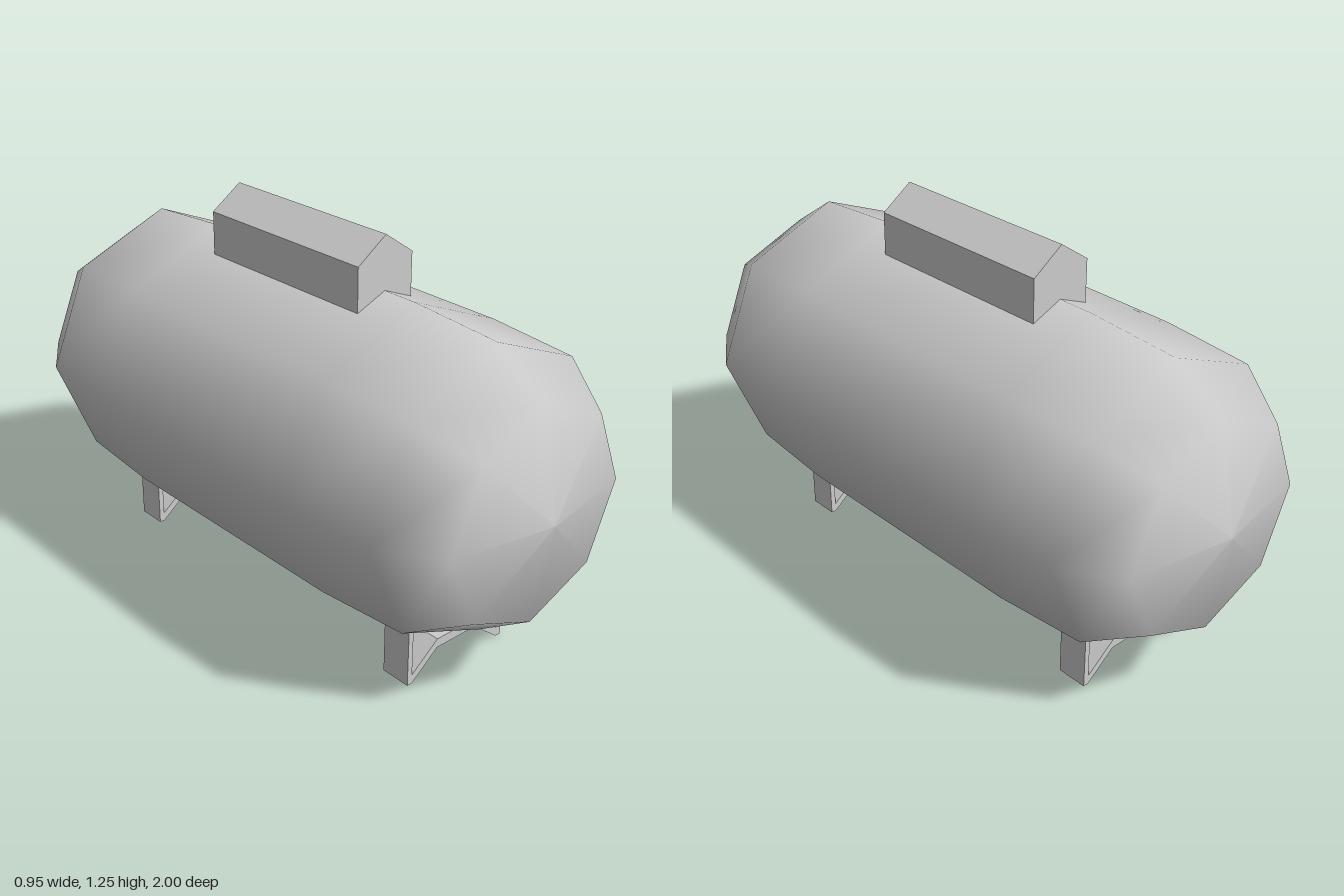
import * as THREE from 'three';

const grey = new THREE.MeshStandardMaterial({ color: 0xcccccc });
grey.name = 'grey paint';

// Prism along z, centred on z, from an outline in x and y
function prism(name, outline, depth, z) {
  const shape = new THREE.Shape(outline.map(([x, y]) => new THREE.Vector2(x, y)));
  const geometry = new THREE.ExtrudeGeometry(shape, { depth, bevelEnabled: false });
  geometry.translate(0, 0, z - depth / 2);
  const mesh = new THREE.Mesh(geometry, grey);
  mesh.name = name;
  return mesh;
}

export function createModel() {
  const group = new THREE.Group();
  group.name = 'gasTank';

  // Eight-sided tank with rounded ends, lying along z
  const half = [[0, 1], [0.335, 0.94], [0.455, 0.76], [0.475, 0.45]];
  const profile = [
    ...half.map(([r, z]) => new THREE.Vector2(r, -z)),
    ...half.slice().reverse().map(([r, z]) => new THREE.Vector2(r, z)),
  ];
  const tank = new THREE.Mesh(new THREE.LatheGeometry(profile, 8).rotateX(Math.PI / 2), grey);
  tank.name = 'tank';
  tank.position.y = 0.61;
  group.add(tank);

  // Gabled valve cover on top
  group.add(prism('valveCover', [
    [-0.105, 1.04], [0.105, 1.04], [0.105, 1.18], [0, 1.253], [-0.105, 1.18],
  ], 0.66, 0));

  // Two stands: thin uprights joined by a bent brace
  const side = [
    [0.08, 0.08], [0.182, 0], [0.2, 0], [0.2, 0.25], [0.182, 0.25], [0.182, 0.03], [0.08, 0.11],
  ];
  const stand = [...side, ...side.slice().reverse().map(([x, y]) => [-x, y])];
  group.add(prism('frontStand', stand, 0.1, 0.62));
  group.add(prism('backStand', stand, 0.1, -0.62));

  return group;
}
